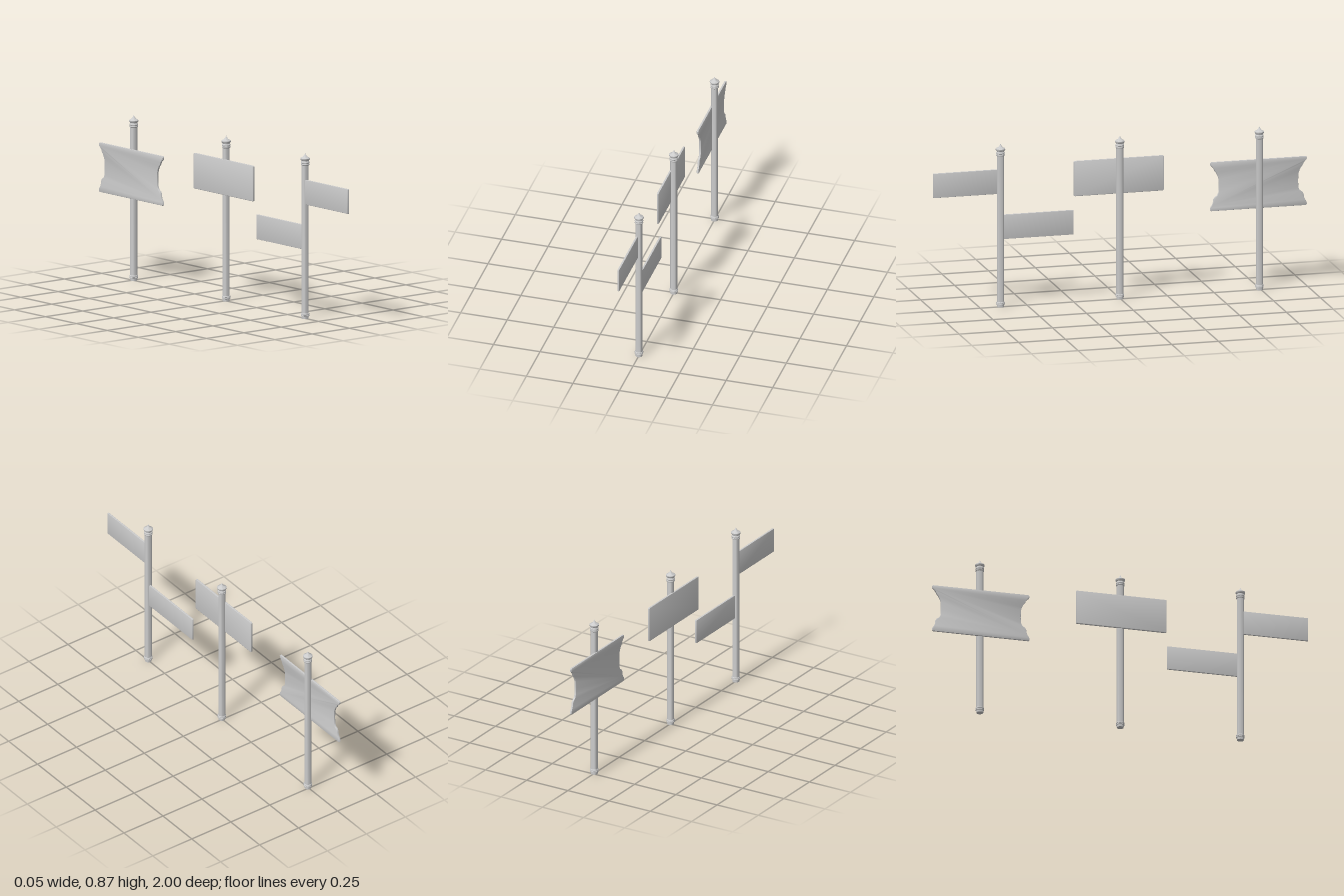
import * as THREE from 'three';
import { toCreasedNormals } from 'three/addons/utils/BufferGeometryUtils.js';

const material = new THREE.MeshStandardMaterial({ color: 0xcccccc });
const THICK = 0.011, BEVEL = 0.003;

// Turned post: base rings, plain shaft, collar rings and a pointed finial
function makePost(name, z) {
  const profile = [
    [0, 0], [0.018, 0], [0.0185, 0.012],
    [0.0215, 0.013], [0.0225, 0.016], [0.0215, 0.019], [0.0195, 0.02],
    [0.0215, 0.021], [0.0225, 0.024], [0.0215, 0.027], [0.0185, 0.029],
    [0.0185, 0.803], [0.0215, 0.805], [0.0225, 0.808], [0.0215, 0.811], [0.0195, 0.813],
    [0.0215, 0.815], [0.0225, 0.819], [0.0215, 0.823], [0.019, 0.825],
    [0.019, 0.829], [0.0235, 0.833], [0.025, 0.837], [0.0245, 0.841], [0.021, 0.844],
    [0.013, 0.848], [0.007, 0.854], [0.003, 0.861], [0, 0.868],
  ].map(([r, y]) => new THREE.Vector2(r, y));
  const post = new THREE.Mesh(toCreasedNormals(new THREE.LatheGeometry(profile, 24), 0.7), material);
  post.name = name;
  post.position.z = z;
  return post;
}

// Extrudes an outline drawn in (z, y) into a thin bevelled board centred on x
function makeBoard(name, shape, x) {
  const geometry = new THREE.ExtrudeGeometry(shape, {
    depth: THICK - 2 * BEVEL, bevelThickness: BEVEL, bevelSize: BEVEL,
    bevelOffset: -BEVEL, bevelSegments: 2, curveSegments: 5,
  });
  geometry.translate(0, 0, -(THICK / 2 - BEVEL));
  geometry.rotateY(-Math.PI / 2);
  const board = new THREE.Mesh(toCreasedNormals(geometry, 0.6), material);
  board.name = name;
  board.position.x = x;
  return board;
}

// Rectangle with small rounded corners
function plainShape(z0, z1, y0, y1, r = 0.007) {
  const s = new THREE.Shape();
  s.moveTo(z0 + r, y0);
  s.lineTo(z1 - r, y0).quadraticCurveTo(z1, y0, z1, y0 + r);
  s.lineTo(z1, y1 - r).quadraticCurveTo(z1, y1, z1 - r, y1);
  s.lineTo(z0 + r, y1).quadraticCurveTo(z0, y1, z0, y1 - r);
  s.lineTo(z0, y0 + r).quadraticCurveTo(z0, y0, z0 + r, y0);
  return s;
}

// Board whose two ends are scooped in with a wavy edge
function scrollShape(centre, half) {
  const end = [
    [0.006, 0.43], [0, 0.435], [0.002, 0.449], [0.011, 0.462], [0.016, 0.475],
    [0.018, 0.492], [0.025, 0.503], [0.038, 0.511], [0.046, 0.528], [0.047, 0.56],
    [0.046, 0.598], [0.041, 0.615], [0.032, 0.633], [0.024, 0.642],
    [0.019, 0.655], [0.010, 0.665], [0.002, 0.672], [0, 0.685], [0.006, 0.69],
  ];
  const right = end.map(([d, y]) => new THREE.Vector2(centre + half - d, y));
  const left = end.map(([d, y]) => new THREE.Vector2(centre - half + d, y)).reverse();
  return new THREE.Shape([...right, ...left]);
}

export function createModel() {
  const model = new THREE.Group();
  model.name = 'signposts';

  // Post with two pointing boards at different heights
  const direction = new THREE.Group();
  direction.name = 'directionSign';
  direction.add(
    makePost('directionPost', 0.642),
    makeBoard('upperBoard', plainShape(0.642, 1, 0.6, 0.73, 0.004), -0.0065),
    makeBoard('lowerBoard', plainShape(0.252, 0.642, 0.36, 0.49, 0.004), 0.001),
  );

  // Post with one rectangular board
  const notice = new THREE.Group();
  notice.name = 'rectangularSign';
  notice.add(
    makePost('rectangularPost', 0.004),
    makeBoard('rectangularBoard', plainShape(-0.235, 0.246, 0.558, 0.745), -0.0155),
  );

  // Post with a board scooped at both ends
  const scroll = new THREE.Group();
  scroll.name = 'scrollSign';
  scroll.add(
    makePost('scrollPost', -0.742),
    makeBoard('scrollBoard', scrollShape(-0.741, 0.259), -0.0155),
  );

  model.add(direction, notice, scroll);
  return model;
}
